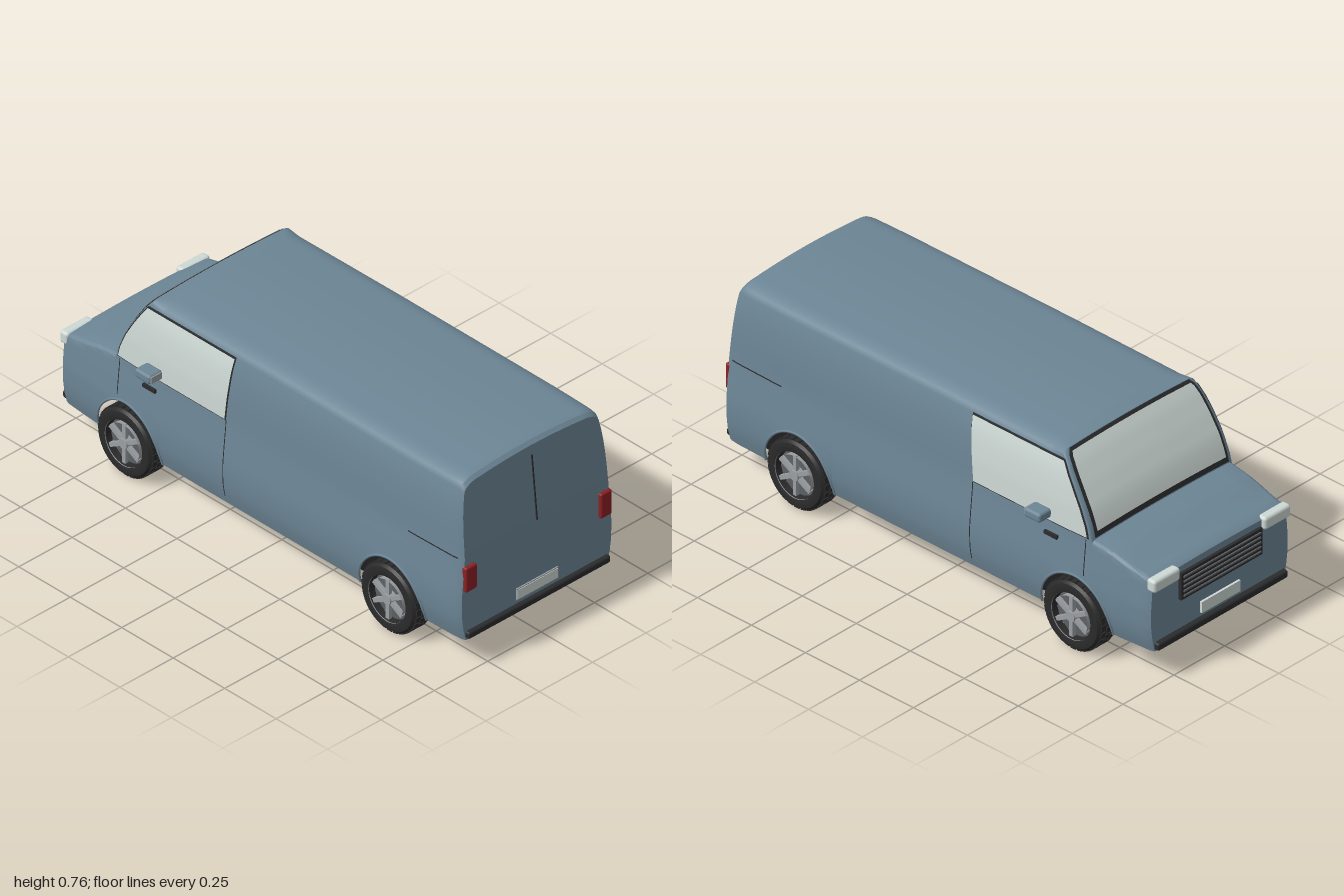
import * as THREE from 'three';
import { toCreasedNormals } from 'three/addons/utils/BufferGeometryUtils.js';
import { RoundedBoxGeometry } from 'three/addons/geometries/RoundedBoxGeometry.js';

const mat = (name, color, side = THREE.FrontSide) => {
  const m = new THREE.MeshStandardMaterial({ color, side });
  m.name = name;
  return m;
};

// Piecewise linear interpolation over ascending [input, output] pairs
function lerpTable(table, v) {
  if (v <= table[0][0]) return table[0][1];
  for (let i = 1; i < table.length; i++) {
    const [a, fa] = table[i - 1], [b, fb] = table[i];
    if (v <= b) return fa + (fb - fa) * (v - a) / (b - a);
  }
  return table[table.length - 1][1];
}

// Half width by height, taper along the length, and the upper outline
const WIDTH = [[0.115, 0.345], [0.16, 0.357], [0.21, 0.364], [0.28, 0.365], [0.36, 0.358], [0.44, 0.35],
  [0.55, 0.347], [0.62, 0.341], [0.67, 0.334], [0.71, 0.324], [0.76, 0.31]];
const PLAN = [[-0.975, 0.92], [-0.96, 0.937], [-0.85, 0.965], [-0.6, 1], [0.75, 1], [0.93, 0.988], [0.965, 0.977], [0.978, 0.96]];
const TOP = [[-0.975, 0.4], [-0.96, 0.41], [-0.9, 0.422], [-0.8, 0.448], [-0.71, 0.46], [-0.7, 0.5], [-0.675, 0.56],
  [-0.635, 0.63], [-0.59, 0.7], [-0.555, 0.745], [-0.5, 0.752], [0, 0.757], [0.95, 0.755], [0.965, 0.752], [0.978, 0.74]];
const WHEEL_Z = [0.64, -0.64], WHEEL_Y = 0.135, BOTTOM = 0.115;

const sideX = (y, z) => lerpTable(WIDTH, y) * lerpTable(PLAN, z);
const tiltZ = (y, z) => z - 0.03 * Math.max(0, (y - 0.45) / 0.3) * THREE.MathUtils.clamp((z - 0.85) / 0.1, 0, 1);

function bottomY(z) {
  for (const c of WHEEL_Z) {
    const d = (z - c) / 0.16;
    if (Math.abs(d) < 1) return BOTTOM + 0.18 * Math.sqrt(1 - d * d);
  }
  return BOTTOM;
}

// Corner sizes and crown of one cross-section
function topShape(z) {
  const t = lerpTable([[-0.57, 0], [-0.5, 1]], z);
  const rx = 0.02 + 0.06 * t, ry = 0.015 + 0.022 * t, crown = 0.007 + 0.004 * t;
  const top = lerpTable(TOP, z), yS = top - ry - crown;
  return { rx, ry, crown, top, yS, xs: sideX(yS, z) };
}

// One half section, from the sill up to the centre line
function halfSection(z) {
  const { rx, ry, crown, top, yS, xs } = topShape(z), y0 = bottomY(z), pts = [];
  for (let i = 0; i <= 14; i++) {
    const y = y0 + (yS - y0) * i / 14;
    pts.push([sideX(y, z), y]);
  }
  for (let j = 1; j <= 6; j++) {
    const a = j / 6 * Math.PI / 2;
    pts.push([xs - rx + rx * Math.cos(a), yS + ry * Math.sin(a)]);
  }
  for (let k = 1; k <= 6; k++) {
    const f = 1 - k / 6;
    pts.push([(xs - rx) * f, top - crown * f * f]);
  }
  return pts;
}

function bodyGeometry() {
  const zs = TOP.map(p => p[0]).concat([-0.93, -0.85, -0.4, -0.3, -0.15, 0.2, 0.35, 0.85, 0.9, 0.93]);
  for (const c of WHEEL_Z) for (let k = 0; k <= 20; k++) zs.push(c + 0.16 * Math.cos(k / 20 * Math.PI));
  zs.sort((a, b) => a - b);
  const stations = zs.filter((z, i) => !i || z - zs[i - 1] > 1e-5);
  const pos = [], idx = [];
  let ring = 0;
  for (const z of stations) {
    const half = halfSection(z);
    const full = half.concat(half.slice(0, -1).reverse().map(([x, y]) => [-x, y]));
    ring = full.length;
    for (const [x, y] of full) pos.push(x, y, tiltZ(y, z));
  }
  const quad = (a, b, c, d) => idx.push(a, b, c, a, c, d);
  for (let s = 0; s < stations.length - 1; s++)
    for (let i = 0; i < ring - 1; i++) {
      const a = s * ring + i;
      quad(a, a + 1, a + ring + 1, a + ring);
    }
  // flat panels closing the nose and the tail
  const last = (stations.length - 1) * ring;
  for (let i = 0; i < (ring - 1) / 2; i++) {
    const j = ring - 1 - i;
    quad(i, j, j - 1, i + 1);
    quad(last + i, last + i + 1, last + j - 1, last + j);
  }
  return surface(pos, idx);
}

function surface(pos, idx) {
  const g = new THREE.BufferGeometry();
  g.setAttribute('position', new THREE.Float32BufferAttribute(pos, 3));
  g.setIndex(idx);
  return toCreasedNormals(g, 0.5);
}

// Grid surface from a point rule f(u, v)
function patch(f, nu, nv) {
  const pos = [], idx = [];
  for (let j = 0; j <= nv; j++) for (let i = 0; i <= nu; i++) pos.push(...f(i / nu, j / nv));
  for (let j = 0; j < nv; j++) for (let i = 0; i < nu; i++) {
    const a = j * (nu + 1) + i, b = a + nu + 1;
    idx.push(a, a + 1, b + 1, a, b + 1, b);
  }
  return surface(pos, idx);
}

// Thin panel that follows the body side
const sidePatch = (s, y0, y1, rear, front, off) => patch((u, v) => {
  const y = y0 + (y1 - y0) * v, z = rear(y) + (front(y) - rear(y)) * (s > 0 ? u : 1 - u);
  return [s * (sideX(y, z) + off), y, tiltZ(y, z)];
}, 10, 12);

// Thin panel that follows the windscreen slope
const screenPatch = (zTop, zBase, inset, off) => patch((u, v) => {
  const z = zBase + (zTop - zBase) * v, { xs, rx, crown, top } = topShape(z), f = 1 - 2 * u;
  return [(xs - rx - inset) * f, top - crown * f * f + 0.5 * off, z - 0.87 * off];
}, 10, 14);

export function createModel() {
  const paint = mat('body paint', 0x6d8696, THREE.DoubleSide);
  const glass = mat('pale glass', 0xced9d5, THREE.DoubleSide);
  const trim = mat('dark trim', 0x2b2c2e, THREE.DoubleSide);
  const black = mat('underside black', 0x1b1b1b);
  const rubber = mat('tyre rubber', 0x2a2a2a);
  const metal = mat('wheel metal', 0x9b9fa3);
  const dish = mat('wheel recess', 0x5e6164);
  const red = mat('tail light red', 0x8c2024);
  const van = new THREE.Group();
  van.name = 'van';

  const add = (name, geo, m, x = 0, y = 0, z = 0, parent = van) => {
    const mesh = new THREE.Mesh(geo, m);
    mesh.name = name;
    mesh.position.set(x, y, z);
    parent.add(mesh);
    return mesh;
  };
  const box = (name, m, w, h, d, x, y, z, parent) => add(name, new THREE.BoxGeometry(w, h, d), m, x, y, z, parent);
  const soft = (name, m, w, h, d, x, y, z) =>
    add(name, new RoundedBoxGeometry(w, h, d, 3, Math.min(w, h, d) * 0.3), m, x, y, z);

  add('bodyShell', bodyGeometry(), paint);
  box('floor', black, 0.6, 0.01, 1.59, 0, 0.125, 0.155);
  add('windscreenSurround', screenPatch(-0.556, -0.709, -0.004, 0.002), trim);
  add('windscreen', screenPatch(-0.564, -0.704, 0.008, 0.006), glass);

  // Side details, mirrored
  const screenZ = y => lerpTable([[0.46, -0.71], [0.5, -0.7], [0.56, -0.675], [0.63, -0.635], [0.7, -0.59], [0.745, -0.555]], y);
  const doorZ = y => -0.17 + 0.1 * (y - 0.46);
  for (const s of [1, -1]) {
    add('sideWindowSurround', sidePatch(s, 0.455, 0.712, y => doorZ(y) + 0.004, y => screenZ(y) + 0.012, 0.002), trim);
    add('sideWindow', sidePatch(s, 0.461, 0.706, doorZ, y => screenZ(y) + 0.018, 0.006), glass);
    add('doorSeam', sidePatch(s, 0.15, 0.456, () => -0.163, () => -0.167, 0.003), trim);
    add('wingSeam', sidePatch(s, 0.31, 0.45, () => -0.683, () => -0.687, 0.003), trim);
    add('rearCrease', sidePatch(s, 0.443, 0.448, () => 0.955, () => 0.72, 0.003), trim);
    box('doorHandle', trim, 0.014, 0.014, 0.06, s * 0.355, 0.408, -0.532);
    soft('mirrorHousing', paint, 0.062, 0.036, 0.075, s * 0.391, 0.499, -0.502);
    box('mirrorGlass', metal, 0.05, 0.026, 0.004, s * 0.391, 0.499, -0.464);
    box('mirrorArm', trim, 0.05, 0.011, 0.03, s * 0.37, 0.474, -0.5);
    soft('tailLight', red, 0.053, 0.1, 0.024, s * 0.316, 0.367, 0.98);
    soft('headlight', glass, 0.13, 0.05, 0.04, s * 0.272, 0.383, -0.973);

    for (const zc of WHEEL_Z) {
      const pts = [];
      for (let k = 0; k <= 24; k++) {
        const a = k / 24 * Math.PI, z = zc + 0.16 * Math.cos(a), y = BOTTOM + 0.18 * Math.sin(a);
        pts.push(new THREE.Vector3(s * sideX(y, z), y, z));
      }
      add('archLip', new THREE.TubeGeometry(new THREE.CatmullRomCurve3(pts), 40, 0.005, 6), paint);
      van.add(makeWheel(s, zc));
    }
  }

  // Wheel: local y points outward
  function makeWheel(s, zc) {
    const g = new THREE.Group();
    g.name = 'wheel';
    g.position.set(s * 0.33, WHEEL_Y, zc);
    g.rotation.z = -s * Math.PI / 2;
    const lathe = (name, pts, m) => add(name, toCreasedNormals(
      new THREE.LatheGeometry(pts.map(p => new THREE.Vector2(...p)), 40), 0.6), m, 0, 0, 0, g);
    lathe('tyre', [[0.085, -0.038], [0.105, -0.046], [0.122, -0.044], [0.13, -0.034], [0.13, 0.034],
      [0.122, 0.044], [0.105, 0.047], [0.088, 0.042], [0.085, 0.02]], rubber);
    lathe('wheelRecess', [[0, -0.036], [0.086, -0.036], [0.086, 0.018], [0, 0.022]], dish);
    lathe('rimEdge', [[0.076, 0.02], [0.078, 0.046], [0.084, 0.05], [0.09, 0.046], [0.09, 0.03]], metal);
    add('hub', new THREE.CylinderGeometry(0.02, 0.024, 0.03, 20), metal, 0, 0.034, 0, g);
    for (let k = 0; k < 6; k++) {
      const spoke = new THREE.Group();
      spoke.name = 'spoke';
      spoke.rotation.y = k * Math.PI / 3;
      box('spokeBar', metal, 0.066, 0.016, 0.016, 0.047, 0.036, 0, spoke);
      g.add(spoke);
    }
    for (let k = 0; k < 28; k++) for (const r of [-1, 0, 1]) {
      const a = (k + (r ? 0 : 0.5)) / 28 * Math.PI * 2;
      const lug = box('treadBlock', rubber, 0.008, 0.02, 0.022, 0.1305 * Math.cos(a), r * 0.024, -0.1305 * Math.sin(a), g);
      lug.rotation.y = a;
    }
    return g;
  }

  // Tail
  box('rearDoorSeam', trim, 0.004, 0.255, 0.006, 0, 0.578, 0.967).rotation.x = -0.1;
  soft('rearBumper', trim, 0.666, 0.028, 0.03, 0, 0.137, 0.98);
  box('rearPlateFrame', metal, 0.194, 0.046, 0.006, 0, 0.19, 0.98);
  box('rearPlate', glass, 0.186, 0.038, 0.006, 0, 0.19, 0.982);

  // Nose
  box('grille', trim, 0.4, 0.105, 0.02, 0, 0.322, -0.977);
  for (let k = 0; k < 5; k++) box('grilleBar', dish, 0.38, 0.006, 0.008, 0, 0.284 + k * 0.019, -0.988);
  soft('frontBumper', trim, 0.64, 0.03, 0.03, 0, 0.137, -0.98);
  box('frontPlate', glass, 0.19, 0.044, 0.01, 0, 0.19, -0.979);
  return van;
}
